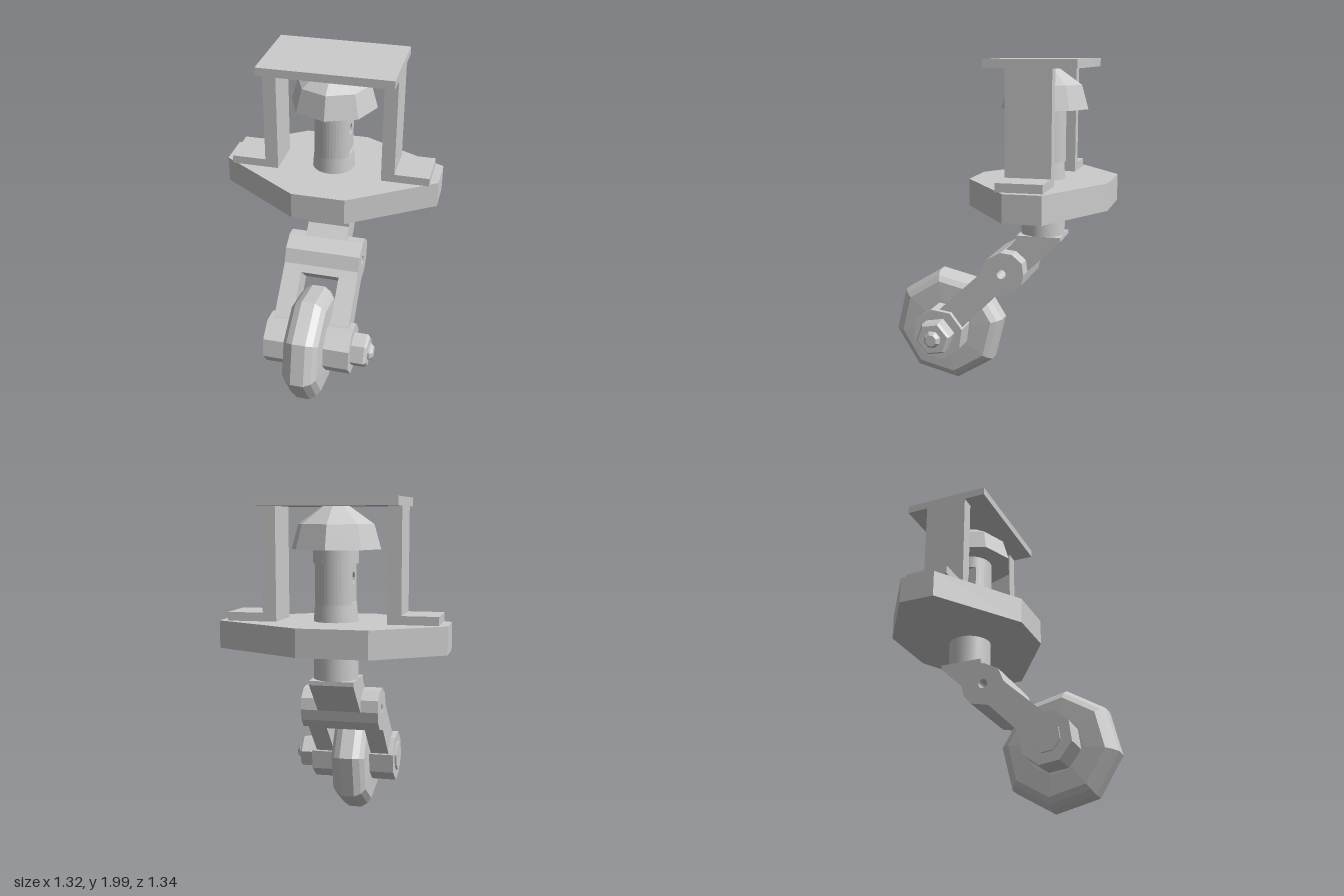
import * as THREE from 'three';

const mat = new THREE.MeshStandardMaterial({ color: 0xcccccc, flatShading: true });
const smoothMat = new THREE.MeshStandardMaterial({ color: 0xcccccc });
const PIN_Z = -0.265;                       // swivel axis
const AXLE = { y: 0.355, z: 0.325 };        // wheel axis

export function createModel() {
  const root = new THREE.Group();
  root.name = 'swivelCaster';

  const add = (parent, name, geo, material = mat) => {
    const m = new THREE.Mesh(geo, material);
    m.name = name;
    parent.add(m);
    return m;
  };
  const group = (name) => {
    const g = new THREE.Group();
    g.name = name;
    root.add(g);
    return g;
  };
  const outline = (pts) => new THREE.Shape(pts.map(([a, b]) => new THREE.Vector2(a, b)));
  const hole = (shape, z, y, r) => {
    const p = new THREE.Path();
    p.absarc(z, y, r, 0, Math.PI * 2, true);
    shape.holes.push(p);
    return shape;
  };
  // Side profile in (z, y), extruded from x0 to x1
  const across = (shape, x0, x1) =>
    new THREE.ExtrudeGeometry(shape, { depth: x1 - x0, bevelEnabled: false, curveSegments: 8 })
      .rotateY(-Math.PI / 2).translate(x1, 0, 0);
  // Plan outline in (x, -z), extruded from y0 to y1
  const upright = (shape, y0, y1) =>
    new THREE.ExtrudeGeometry(shape, { depth: y1 - y0, bevelEnabled: false, curveSegments: 6 })
      .rotateX(-Math.PI / 2).translate(0, y0, 0);
  const block = (x0, x1, y0, y1, z0, z1) =>
    new THREE.BoxGeometry(x1 - x0, y1 - y0, z1 - z0)
      .translate((x0 + x1) / 2, (y0 + y1) / 2, (z0 + z1) / 2);

  // Mounting bracket
  const bracket = group('bracket');
  add(bracket, 'topPlate', block(-0.4, 0.4, 1.95, 2, -0.53, 0));
  for (const s of [-1, 1]) {
    const span = (a, b) => (s > 0 ? [a, b] : [-b, -a]);
    add(bracket, 'bracketLeg', block(...span(0.32, 0.4), 1.3, 1.95, -0.395, -0.13));
    add(bracket, 'bracketFoot', block(...span(0.4, 0.61), 1.3, 1.35, -0.395, -0.13));
  }

  // Base plate
  add(root, 'basePlate', upright(outline([
    [-0.16, -0.15], [0.16, -0.15], [0.66, 0.185], [0.66, 0.4],
    [0.13, 0.67], [-0.27, 0.67], [-0.66, 0.4], [-0.66, 0.185],
  ]), 1.14, 1.3));

  // Swivel pin: round ends, flats on both sides, cross-drilled
  const pin = group('swivelPin');
  const R = 0.13, flat = 0.103, half = Math.sqrt(R * R - flat * flat);
  const round = (name, y0, y1, r1 = R) =>
    add(pin, name, new THREE.CylinderGeometry(r1, R, y1 - y0, 24)
      .translate(0, (y0 + y1) / 2, PIN_Z), smoothMat);
  round('lowerShaft', 0.95, 1.15);
  round('pinCollar', 1.29, 1.41, 0.12);
  round('pinNeck', 1.63, 1.72);
  add(pin, 'drilledCore', across(hole(outline([
    [PIN_Z - half, 1.4], [PIN_Z + half, 1.4], [PIN_Z + half, 1.64], [PIN_Z - half, 1.64],
  ]), PIN_Z, 1.55, 0.035), -flat, flat));
  const a = Math.atan2(half, flat);
  for (const s of [0, Math.PI]) {
    const cap = new THREE.Shape();
    cap.absarc(0, 0, R, s + a, s + Math.PI - a, false);
    add(pin, 'pinSide', upright(cap, 1.4, 1.64).translate(0, 0, PIN_Z));
  }

  // Faceted pin head
  add(root, 'pinHead', new THREE.LatheGeometry([
    [0, 1.71], [0.262, 1.71], [0.222, 1.85], [0.08, 1.95], [0, 1.95],
  ].map(([r, y]) => new THREE.Vector2(r, y)), 8).translate(0, 0, PIN_Z), mat);

  // Fork: neck, drilled shoulder and two arms
  const fork = group('fork');
  const HZ = -0.066, HY = 0.748, HR = 0.028;
  add(fork, 'forkNeck', across(hole(outline([
    [-0.13, 0.965], [-0.395, 0.965], [-0.395, 0.94], [-0.2, 0.75],
    [-0.1, 0.65], [0.03, 0.78], [-0.13, 0.94],
  ]), HZ, HY, HR), -0.13, 0.13));
  add(fork, 'forkShoulder', across(hole(outline([
    [0.065, 0.745], [0.03, 0.83], [-0.06, 0.878], [-0.13, 0.87], [-0.19, 0.82], [-0.2, 0.75],
    [-0.185, 0.685], [-0.14, 0.635], [-0.03, 0.61], [-0.018, 0.598], [0.1, 0.71],
  ]), HZ, HY, HR), -0.235, 0.235));
  for (const s of [-1, 1]) {
    add(fork, 'forkArm', across(outline([
      [0.1, 0.71], [-0.018, 0.598], [0.21, 0.37], [0.25, 0.29], [0.33, 0.26], [0.41, 0.31], [0.41, 0.4], [0.315, 0.51],
    ]), s > 0 ? 0.12 : -0.235, s > 0 ? 0.235 : -0.12));
  }

  // Turned parts along the axle; profile points are [radius, x]
  const turned = (parent, name, profile, sides, degrees) =>
    add(parent, name, new THREE.LatheGeometry(
      profile.map(([r, x]) => new THREE.Vector2(r, x)), sides, -degrees * Math.PI / 180)
      .rotateZ(-Math.PI / 2).translate(0, AXLE.y, AXLE.z));
  const drum = (parent, name, r, x0, x1, sides, degrees) =>
    turned(parent, name, [[0, x0], [r, x0], [r, x1], [0, x1]], sides, degrees);

  // Wheel
  turned(root, 'wheel', [
    [0, -0.11], [0.17, -0.11], [0.29, -0.105], [0.325, -0.08], [0.352, -0.04],
    [0.352, 0.04], [0.325, 0.08], [0.29, 0.105], [0.17, 0.11], [0, 0.11],
  ], 8, 81);

  // Axle bolt, hubs and nut
  const axle = group('axle');
  drum(axle, 'boltHead', 0.158, -0.265, -0.1, 8, 75);
  drum(axle, 'boltHeadBoss', 0.092, -0.277, -0.26, 8, 75);
  drum(axle, 'hubSpacer', 0.158, 0.1, 0.268, 8, 75);
  turned(axle, 'nut', [[0, 0.26], [0.108, 0.26], [0.108, 0.35], [0.095, 0.365], [0, 0.365]], 6, 50);
  turned(axle, 'boltTip', [[0, 0.36], [0.052, 0.36], [0.052, 0.378], [0.035, 0.396], [0, 0.396]], 8, 70);

  return root;
}
